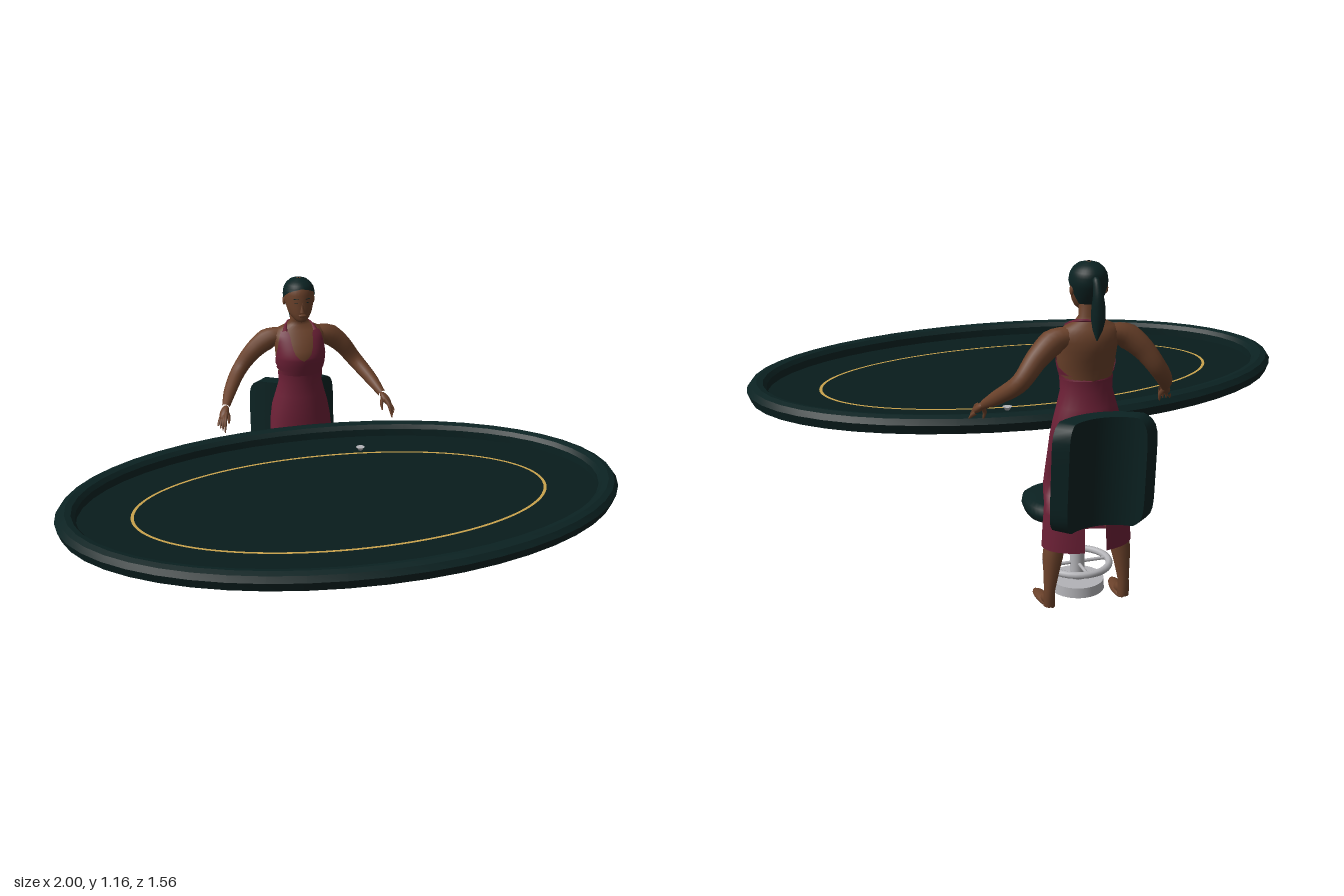
import * as THREE from 'three';
import { mergeVertices, toCreasedNormals } from 'three/addons/utils/BufferGeometryUtils.js';

const material = (name, color, side = THREE.FrontSide) =>
  new THREE.MeshStandardMaterial({ name, color, side });
const V = (x, y, z) => new THREE.Vector3(x, y, z);

// Cross-sections of the body and head: [y, half width, front z, back z]
const BODY = [
  [0.225, 0.15, -0.5, -0.68], [0.3, 0.146, -0.5, -0.675], [0.345, 0.142, -0.5, -0.672],
  [0.375, 0.14, -0.5, -0.666], [0.4, 0.137, -0.5, -0.62], [0.43, 0.133, -0.5, -0.59],
  [0.48, 0.128, -0.5, -0.6], [0.54, 0.122, -0.5, -0.617], [0.6, 0.118, -0.5, -0.643],
  [0.65, 0.11, -0.5, -0.656], [0.7, 0.096, -0.504, -0.643], [0.75, 0.083, -0.508, -0.629],
  [0.79, 0.085, -0.504, -0.63], [0.83, 0.094, -0.493, -0.636], [0.86, 0.097, -0.487, -0.643],
  [0.89, 0.098, -0.496, -0.65], [0.92, 0.102, -0.513, -0.652], [0.945, 0.102, -0.53, -0.646],
  [0.962, 0.086, -0.545, -0.636], [0.98, 0.048, -0.559, -0.622], [0.995, 0.034, -0.56, -0.612],
  [1.05, 0.031, -0.55, -0.61],
];
const HEAD = [
  [1.002, 0.005, -0.525, -0.545], [1.007, 0.02, -0.512, -0.575], [1.02, 0.034, -0.507, -0.595],
  [1.04, 0.046, -0.507, -0.612], [1.065, 0.053, -0.508, -0.628], [1.09, 0.057, -0.511, -0.637],
  [1.11, 0.058, -0.511, -0.641], [1.13, 0.053, -0.516, -0.638], [1.145, 0.044, -0.526, -0.629],
  [1.157, 0.03, -0.542, -0.614], [1.165, 0.004, -0.573, -0.583],
];

function sectionAt(rows, y) {
  let i = 0;
  while (i < rows.length - 2 && rows[i + 1][0] < y) i++;
  const t = THREE.MathUtils.clamp((y - rows[i][0]) / (rows[i + 1][0] - rows[i][0]), 0, 1);
  return rows[i].map((v, k) => THREE.MathUtils.lerp(v, rows[i + 1][k], t));
}

// Surface around the cross-sections; spans are [y, start angle, end angle], 0 degrees is the front
function wrap(rows, spans, grow = 0, n = 28) {
  const pos = [], index = [];
  spans.forEach(([y, a0, a1], j) => {
    const [, w, zf, zb] = sectionAt(rows, y);
    for (let i = 0; i <= n; i++) {
      const a = THREE.MathUtils.degToRad(a0 + (a1 - a0) * i / n);
      pos.push((w + grow) * Math.sin(a), y, (zf + zb) / 2 + ((zf - zb) / 2 + grow) * Math.cos(a));
      if (j && i) {
        const p = j * (n + 1) + i, q = p - n - 1;
        index.push(q - 1, q, p, q - 1, p, p - 1);
      }
    }
  });
  let g = new THREE.BufferGeometry();
  g.setAttribute('position', new THREE.Float32BufferAttribute(pos, 3));
  g.setIndex(index);
  g = mergeVertices(g, 1e-5);
  g.computeVertexNormals();
  return g;
}
const fullSpans = (rows, from, to) =>
  rows.filter(r => r[0] >= from && r[0] <= to).map(r => [r[0], -180, 180]);

// Tapered tube through points with evenly spaced radii
function limb(points, radii, sides = 12) {
  const curve = new THREE.CatmullRomCurve3(points.map(p => V(...p)));
  const n = 24, g = new THREE.TubeGeometry(curve, n, 1, sides), p = g.attributes.position, v = V();
  for (let i = 0; i < p.count; i++) {
    const t = Math.floor(i / (sides + 1)) / n, c = curve.getPointAt(t);
    const u = t * (radii.length - 1), k = Math.min(Math.floor(u), radii.length - 2);
    const r = THREE.MathUtils.lerp(radii[k], radii[k + 1], u - k);
    v.fromBufferAttribute(p, i).sub(c).multiplyScalar(r).add(c);
    p.setXYZ(i, v.x, v.y, v.z);
  }
  return g;
}

// Moves every vertex by a rule in plan: rule(x, z, radius) gives the new [x, z]
function replan(g, rule) {
  const p = g.attributes.position;
  for (let i = 0; i < p.count; i++) {
    const [x, z] = rule(p.getX(i), p.getZ(i), Math.hypot(p.getX(i), p.getZ(i)) || 1);
    p.setX(i, x).setZ(i, z);
  }
  g.computeVertexNormals();
  return g;
}
// Turns a round ring into an oval one, keeping its width even
const oval = (g, cut) => replan(g, (x, z, r) => [x, z * (r - cut) / r]);
const lathe = (pts, n) => new THREE.LatheGeometry(pts.map(p => new THREE.Vector2(...p)), n);

export function createModel() {
  const model = new THREE.Group();
  const teal = material('dark teal padding', 0x0b2222, THREE.DoubleSide);
  const felt = material('table felt', 0x081c1c);
  const gold = material('gold line', 0xc9a24c);
  const metal = material('metal', 0xb4b4b8);
  const skin = material('skin', 0x6a412a);
  const dress = material('dress', 0x6c2036, THREE.DoubleSide);

  const add = (parent, name, g, m, pos = [0, 0, 0], scale = [1, 1, 1]) => {
    const mesh = new THREE.Mesh(g, m);
    mesh.name = name;
    mesh.position.set(...pos);
    mesh.scale.set(...scale);
    parent.add(mesh);
    return mesh;
  };
  const group = name => {
    const g = new THREE.Group();
    g.name = name;
    model.add(g);
    return g;
  };
  const ball = new THREE.SphereGeometry(1, 16, 12);

  // Table: padded rim around a sunken top
  const table = group('table');
  table.position.z = 0.174;
  const rim = lathe([[0.988, 0.567], [1, 0.6], [0.986, 0.619], [0.965, 0.626], [0.943, 0.621],
    [0.93, 0.606], [0.93, 0.567], [0.988, 0.567]], 48);
  add(table, 'tableRim', toCreasedNormals(oval(rim, 0.395), 0.5), teal);
  add(table, 'tableTop', new THREE.CylinderGeometry(0.935, 0.935, 0.01, 48), felt,
    [0, 0.573, 0], [1, 1, 0.577]);
  const line = new THREE.RingGeometry(0.734, 0.745, 96).rotateX(-Math.PI / 2);
  add(table, 'tableLine', oval(line, 0.367), gold, [0, 0.5795, -0.003]);
  add(table, 'tableMarker', new THREE.CylinderGeometry(0.017, 0.006, 0.014, 8), metal, [0.16, 0.585, -0.396]);

  // Chair
  const chair = group('chair');
  const seat = lathe([[0, 0.282], [0.8, 0.284], [0.95, 0.297], [1, 0.32], [0.98, 0.343],
    [0.88, 0.355], [0, 0.358]], 40);
  const soften = (v, r) => Math.sign(v) * r * Math.pow(Math.abs(v / r), 0.7);
  add(chair, 'seat', replan(seat, (x, z, r) => [soften(x, r) * 0.176, soften(z, r) * 0.128]), teal, [0, 0, -0.473]);
  add(chair, 'post', new THREE.CylinderGeometry(0.025, 0.025, 0.26, 20), metal, [0, 0.16, -0.505]);
  add(chair, 'base', new THREE.CylinderGeometry(0.09, 0.092, 0.035, 28), metal, [0, 0.0375, -0.505]);
  add(chair, 'footRing', new THREE.TorusGeometry(0.108, 0.012, 8, 32).rotateX(Math.PI / 2), metal, [0, 0.112, -0.505]);
  for (let i = 0; i < 2; i++) {
    add(chair, 'footRingSpoke', new THREE.CylinderGeometry(0.006, 0.006, 0.21, 8).rotateZ(Math.PI / 2),
      metal, [0, 0.112, -0.505]).rotation.y = i * Math.PI / 2;
  }
  // Backrest: a slab rounded at top and bottom, bent and leaned back
  const back = new THREE.BoxGeometry(2, 2, 1, 16, 16, 1), bp = back.attributes.position;
  for (let i = 0; i < bp.count; i++) {
    const u = bp.getX(i), v = Math.sin(bp.getY(i) * Math.PI / 2), d = bp.getZ(i) * 0.055;
    const a = u * 0.95 * Math.pow(1 - 0.7 * Math.pow(Math.abs(v), 7), 0.25);
    const r = 0.178 + d;
    bp.setXYZ(i, r * Math.sin(a) * 1.05, 0.512 + v * 0.188, -0.86 + r * Math.cos(a) - v * 0.014);
  }
  back.computeVertexNormals();
  add(chair, 'backrest', toCreasedNormals(back, 0.7), teal);

  // Woman: body, dress and head
  const woman = group('woman');
  add(woman, 'torso', wrap(BODY, fullSpans(BODY, 0.75, 1.05)), skin);
  const skirt = fullSpans(BODY, 0.22, 0.79).map(([y, a, b]) => y < 0.38 ? [y, a + 14, b - 14] : [y, a, b]);
  add(woman, 'dress', wrap(BODY, skirt, 0.003), dress);
  const bib = [[0.79, 0, 180], [0.81, 0, 125], [0.83, 0, 100], [0.855, 0, 84], [0.865, 10, 78],
    [0.88, 18, 72], [0.9, 22, 64], [0.925, 24, 56], [0.945, 25, 51], [0.96, 32, 56]];
  for (const s of [1, -1]) {
    const side = s > 0 ? 'left' : 'right';
    const mir = pts => pts.map(([x, y, z]) => [x * s, y, z]);
    add(woman, side + 'Bodice', wrap(BODY, s > 0 ? bib : bib.map(([y, a, b]) => [y, -b, -a]), 0.0035, 14), dress);
    add(woman, side + 'Strap', limb(mir([[0.06, 0.955, -0.552], [0.053, 0.972, -0.578],
      [0.034, 0.985, -0.608], [0, 0.984, -0.622]]), [0.011, 0.007, 0.005, 0.004], 8), dress);

    // Arm, palm and fingers
    add(woman, side + 'Arm', limb(mir([[0.06, 0.935, -0.595], [0.112, 0.926, -0.597], [0.172, 0.88, -0.607],
      [0.233, 0.802, -0.61], [0.28, 0.745, -0.55], [0.313, 0.698, -0.48]]),
    [0.028, 0.042, 0.036, 0.031, 0.028, 0.024, 0.015]), skin);
    const palm = add(woman, side + 'Palm', ball, skin, [0.323 * s, 0.682, -0.459], [0.018, 0.013, 0.034]);
    palm.rotation.set(0.7, s * 0.4, s * -0.6);
    for (let f = 0; f < 4; f++) {
      const o = (f - 1.5) * 0.01;
      add(woman, side + 'Finger', limb(mir([[0.326 + o * 0.6, 0.677 - o * 0.7, -0.45 - o * 0.7],
        [0.336 + o * 0.7, 0.66 - o * 0.6, -0.428 - o], [0.342 + o * 0.7, 0.633 + o * 0.4, -0.412 - o * 1.4]]),
      [0.0075, 0.007, 0.0055, 0.002], 7), skin);
    }
    add(woman, side + 'Thumb', limb(mir([[0.314, 0.685, -0.468], [0.306, 0.663, -0.457], [0.308, 0.64, -0.448]]),
      [0.009, 0.007, 0.003], 7), skin);

    // Leg and foot
    add(woman, side + 'Leg', limb(mir([[0.085, 0.36, -0.585], [0.1, 0.28, -0.588], [0.117, 0.2, -0.595],
      [0.125, 0.13, -0.598], [0.131, 0.06, -0.6], [0.131, 0.015, -0.598]]),
    [0.034, 0.034, 0.035, 0.034, 0.026, 0.019, 0.02]), skin);
    add(woman, side + 'Foot', ball, skin, [0.131 * s, 0.014, -0.542], [0.024, 0.014, 0.075]).rotation.y = s * 0.12;
    add(woman, side + 'Instep', ball, skin, [0.13 * s, 0.028, -0.573], [0.019, 0.02, 0.045]).rotation.x = 0.45;

    // Ear, eye and eyebrow
    add(woman, side + 'Ear', ball, skin, [0.057 * s, 1.078, -0.582], [0.006, 0.018, 0.011]);
    add(woman, side + 'Eye', ball, teal, [0.022 * s, 1.083, -0.5165], [0.007, 0.002, 0.002]).rotation.y = s * 0.4;
    add(woman, side + 'Eyebrow', ball, teal, [0.023 * s, 1.097, -0.517], [0.011, 0.0015, 0.002]).rotation.y = s * 0.4;
  }
  add(woman, 'head', wrap(HEAD, fullSpans(HEAD, 1, 1.17)), skin);
  add(woman, 'nose', new THREE.ConeGeometry(0.01, 0.036, 10), skin, [0, 1.066, -0.508], [1, 1, 0.9]);
  add(woman, 'lips', ball, skin, [0, 1.033, -0.509], [0.016, 0.006, 0.006]);

  // Hair cap and ponytail
  const hairline = [[1.035, 130, 230], [1.06, 115, 245], [1.09, 92, 268], [1.105, 72, 288], [1.12, 52, 308],
    [1.13, 28, 332], [1.136, 0, 360], [1.145, 0, 360], [1.157, 0, 360], [1.165, 0, 360]];
  add(woman, 'hair', wrap(HEAD, hairline, 0.004, 32), teal);
  add(woman, 'ponytail', limb([[0, 1.11, -0.625], [0, 1.118, -0.645], [0, 1.08, -0.664], [0, 1.02, -0.668],
    [0, 0.965, -0.664], [0, 0.93, -0.66]], [0.01, 0.013, 0.017, 0.022, 0.023, 0.016, 0.002]), teal);

  return model;
}
